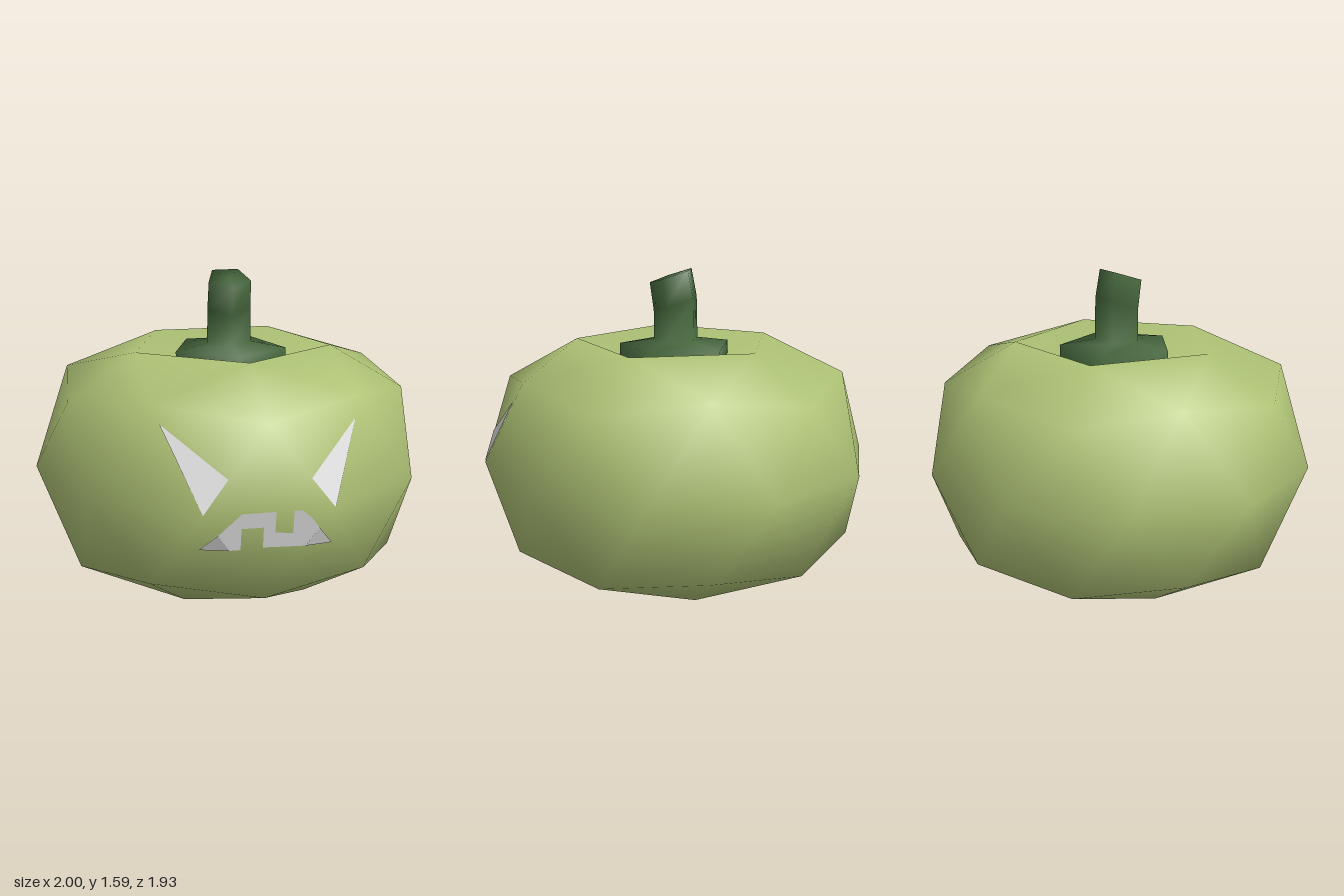
import * as THREE from 'three';

const skinMat = new THREE.MeshStandardMaterial({ name: 'pale green skin', color: 0xafc376 });
const stemMat = new THREE.MeshStandardMaterial({ name: 'dark green stem', color: 0x43633a });
const faceMat = new THREE.MeshStandardMaterial({ name: 'light grey face', color: 0xdcdcdc });

// Point at radius r, height y; angle in degrees turns from +x to +z
function polar(r, y, deg) {
  const a = THREE.MathUtils.degToRad(deg);
  return new THREE.Vector3(r * Math.cos(a), y, r * Math.sin(a));
}

const ring = (n, f) => Array.from({ length: n }, (_, i) => f(i));

// Smooth mesh from triangles that share their points
function smoothMesh(name, tris, mat) {
  const points = [...new Set(tris.flat())];
  const g = new THREE.BufferGeometry().setFromPoints(points);
  g.setIndex(tris.flat().map((p) => points.indexOf(p)));
  g.computeVertexNormals();
  const mesh = new THREE.Mesh(g, mat);
  mesh.name = name;
  return mesh;
}

// Flat face detail: an outline in x, y laid just over the facet a, b, c
function facePiece(name, outline, [a, b, c]) {
  const plane = new THREE.Plane().setFromCoplanarPoints(a, b, c);
  const n = plane.normal;
  const g = new THREE.ShapeGeometry(new THREE.Shape(outline.map(([x, y]) => new THREE.Vector2(x, y))));
  const p = g.attributes.position;
  for (let i = 0; i < p.count; i++) {
    p.setZ(i, -(plane.constant + n.x * p.getX(i) + n.y * p.getY(i)) / n.z + 0.005);
  }
  g.computeVertexNormals();
  const mesh = new THREE.Mesh(g, faceMat);
  mesh.name = name;
  return mesh;
}

export function createModel() {
  const model = new THREE.Group();
  model.name = 'carvedPumpkin';

  // Body: a squashed ten-sided ball with a sunken top
  const a0 = 15.5;
  const top = polar(0, 1.01, 0);
  const base = polar(0, 0, 0);
  const A = ring(5, (k) => polar(0.526, 1.22, a0 + 72 * k));
  const U = ring(10, (j) => (j % 2 ? polar(0.85, 1.08, a0 + 36 * j) : polar(0.894, 1.01, a0 + 36 * j)));
  const E = ring(10, (j) => polar(1, 0.617, a0 - 18 + 36 * j));
  const L = ring(10, (j) => (j % 2 ? polar(0.894, 0.22, a0 + 36 * j) : polar(0.85, 0.155, a0 + 36 * j)));
  const D = ring(5, (k) => polar(0.526, 0, a0 + 36 + 72 * k));
  const tris = [];
  for (let j = 0; j < 10; j++) {
    const n = (j + 1) % 10;
    tris.push([U[j], E[n], E[j]], [U[j], U[n], E[n]], [E[j], E[n], L[j]], [L[j], E[n], L[n]]);
  }
  for (let k = 0; k < 5; k++) {
    const n = (k + 1) % 5;
    const u = (i) => U[(2 * k + i) % 10];
    const l = (i) => L[(2 * k + 1 + i) % 10];
    tris.push([top, A[n], A[k]], [A[k], A[n], u(1)], [A[k], u(1), u(0)], [A[n], u(2), u(1)]);
    tris.push([base, D[k], D[n]], [D[k], l(1), D[n]], [l(0), l(1), D[k]], [l(1), l(2), D[n]]);
  }
  model.add(smoothMesh('body', tris, skinMat));

  // Stem: flared five-sided collar and a bent stalk; [radius, height, z shift, tilt]
  const rings = [
    [0.3, 1.08, 0, 0], [0.3, 1.2, 0, 0], [0.12, 1.23, 0, 0],
    [0.118, 1.415, 0.003, 0.32], [0.114, 1.557, 0.027, 0.34],
  ].map(([r, y, z, tilt]) => ring(5, (k) => {
    const p = polar(r, y, 88 + 72 * k);
    p.y -= tilt * p.z;
    p.z += z;
    return p;
  }));
  const tip = new THREE.Vector3(0, 1.557, 0.027);
  const stemTris = [];
  for (let k = 0; k < 5; k++) {
    const n = (k + 1) % 5;
    for (let i = 0; i < rings.length - 1; i++) {
      const lo = rings[i];
      const hi = rings[i + 1];
      stemTris.push([hi[k], hi[n], lo[n]], [hi[k], lo[n], lo[k]]);
    }
    stemTris.push([tip, rings[4][n], rings[4][k]]);
  }
  model.add(smoothMesh('stem', stemTris, stemMat));

  // Eyes, each lying on a single facet
  model.add(facePiece('rightEye', [[-0.27, 0.62], [-0.15, 0.775], [-0.44, 1.0]], [U[2], U[3], E[3]]));
  model.add(facePiece('leftEye', [[0.35, 0.62], [0.49, 0.985], [0.24, 0.76]], [U[2], E[2], U[1]]));

  // Mouth, folded over three facets
  const mouth = new THREE.Group();
  mouth.name = 'mouth';
  mouth.add(
    facePiece('mouthMiddle', [
      [-0.142, 0.43], [-0.09, 0.43], [-0.09, 0.54], [0.015, 0.54], [0.015, 0.435], [0.22, 0.428],
      [0.281, 0.518], [0.24, 0.575], [0.19, 0.617], [0.155, 0.617], [0.155, 0.5], [0.07, 0.51],
      [0.07, 0.617], [-0.09, 0.617], [-0.198, 0.512],
    ], [E[2], E[3], L[2]]),
    facePiece('mouthRightCorner', [[-0.28, 0.43], [-0.142, 0.43], [-0.198, 0.512]], [L[2], E[3], L[3]]),
    facePiece('mouthLeftCorner', [[0.22, 0.428], [0.355, 0.42], [0.281, 0.518]], [L[1], E[2], L[2]]),
  );
  model.add(mouth);
  return model;
}
